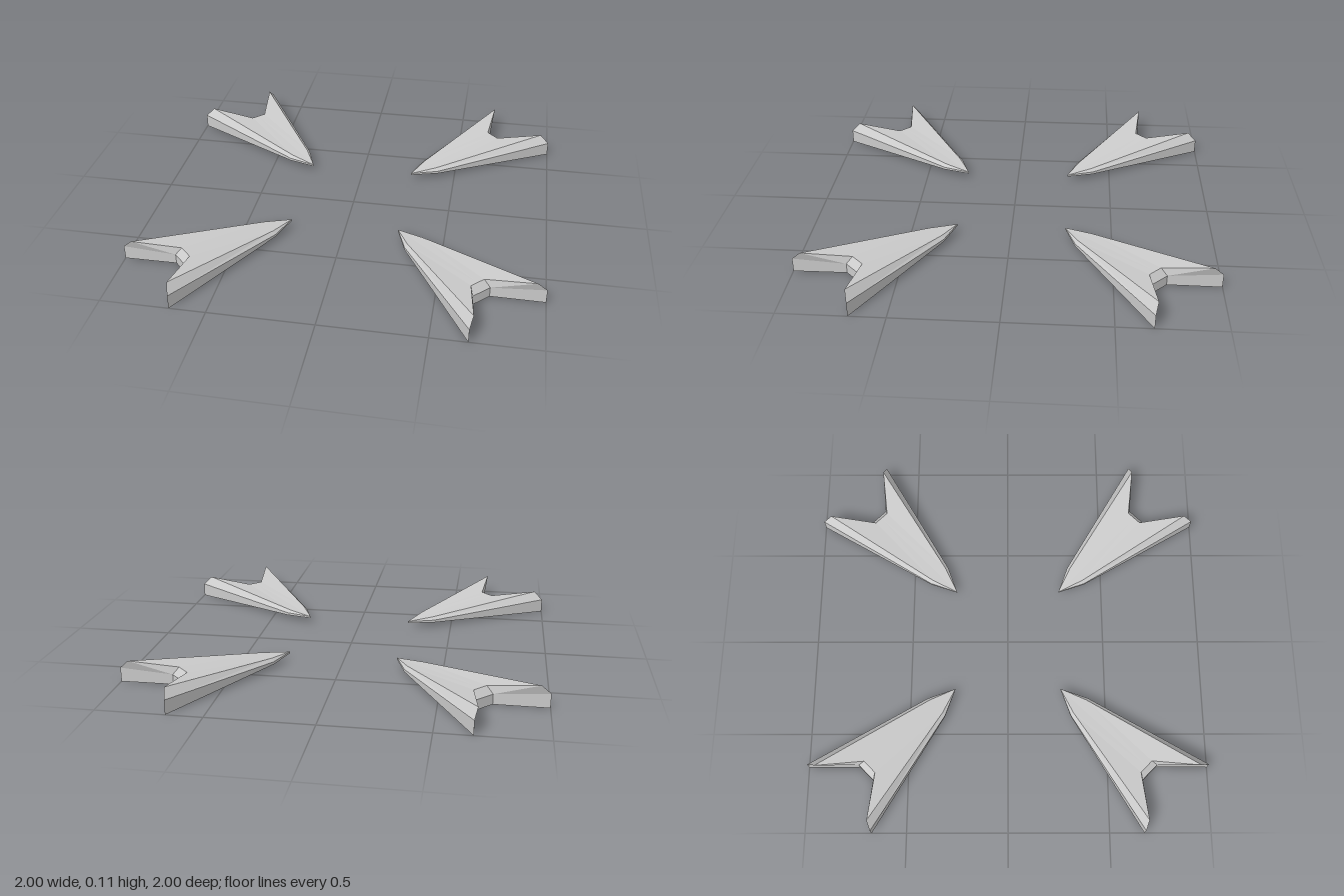
import * as THREE from 'three';

// Corners of half an arrowhead, lying along the x = z diagonal
const P = {
  tipLow: [0.27, 0.03, 0.27], tipTop: [0.27, 0.039, 0.27],
  shoulderLow: [0.41, 0.024, 0.32], shoulderMid: [0.41, 0.037, 0.32], shoulderTop: [0.4, 0.051, 0.333],
  wingLow: [1, 0, 0.672], wingMid: [1, 0.07, 0.672], wingTop: [0.955, 0.112, 0.685],
  notchLow: [0.745, 0, 0.67], notchMid: [0.745, 0.05, 0.67], notchTop: [0.715, 0.085, 0.658],
  centreLow: [0.7075, 0, 0.7075], centreMid: [0.7075, 0.05, 0.7075], centreTop: [0.6865, 0.085, 0.6865],
};

// Faces as fans, each starting from a corner that sees the whole face
const FACES = [
  ['shoulderTop', 'tipTop', 'centreTop', 'notchTop', 'wingTop'],      // top
  ['shoulderLow', 'wingLow', 'notchLow', 'centreLow', 'tipLow'],      // underside
  ['shoulderLow', 'tipLow', 'tipTop', 'shoulderMid'],                 // side at the tip
  ['wingLow', 'shoulderLow', 'shoulderMid', 'wingMid'],               // side along the wing
  ['shoulderMid', 'tipTop', 'shoulderTop'],                           // bevel at the tip
  ['wingMid', 'shoulderMid', 'shoulderTop', 'wingTop'],               // bevel along the wing
  ['notchMid', 'notchLow', 'wingLow', 'wingMid', 'wingTop', 'notchTop'], // inner wing
  ['centreLow', 'notchLow', 'notchMid', 'centreMid'],                 // notch wall
  ['centreMid', 'notchMid', 'notchTop', 'centreTop'],                 // notch bevel
];

function arrowheadGeometry() {
  const pos = [];
  const swap = ([x, y, z]) => [z, y, x];
  for (const face of FACES) {
    const c = face.map((name) => P[name]);
    for (let i = 1; i < c.length - 1; i++) {
      pos.push(...c[0], ...c[i], ...c[i + 1]);
      // mirrored half, with the winding reversed
      pos.push(...swap(c[0]), ...swap(c[i + 1]), ...swap(c[i]));
    }
  }
  const g = new THREE.BufferGeometry();
  g.setAttribute('position', new THREE.Float32BufferAttribute(pos, 3));
  g.computeVertexNormals();
  return g;
}

export function createModel() {
  const group = new THREE.Group();
  group.name = 'arrowheads';
  const material = new THREE.MeshStandardMaterial({ color: 0xcccccc, flatShading: true });
  const geometry = arrowheadGeometry();
  // Four arrowheads pointing at the middle
  ['frontLeft', 'backLeft', 'backRight', 'frontRight'].forEach((corner, i) => {
    const mesh = new THREE.Mesh(geometry, material);
    mesh.name = corner + 'Arrowhead';
    mesh.rotation.y = (i * Math.PI) / 2;
    group.add(mesh);
  });
  return group;
}
